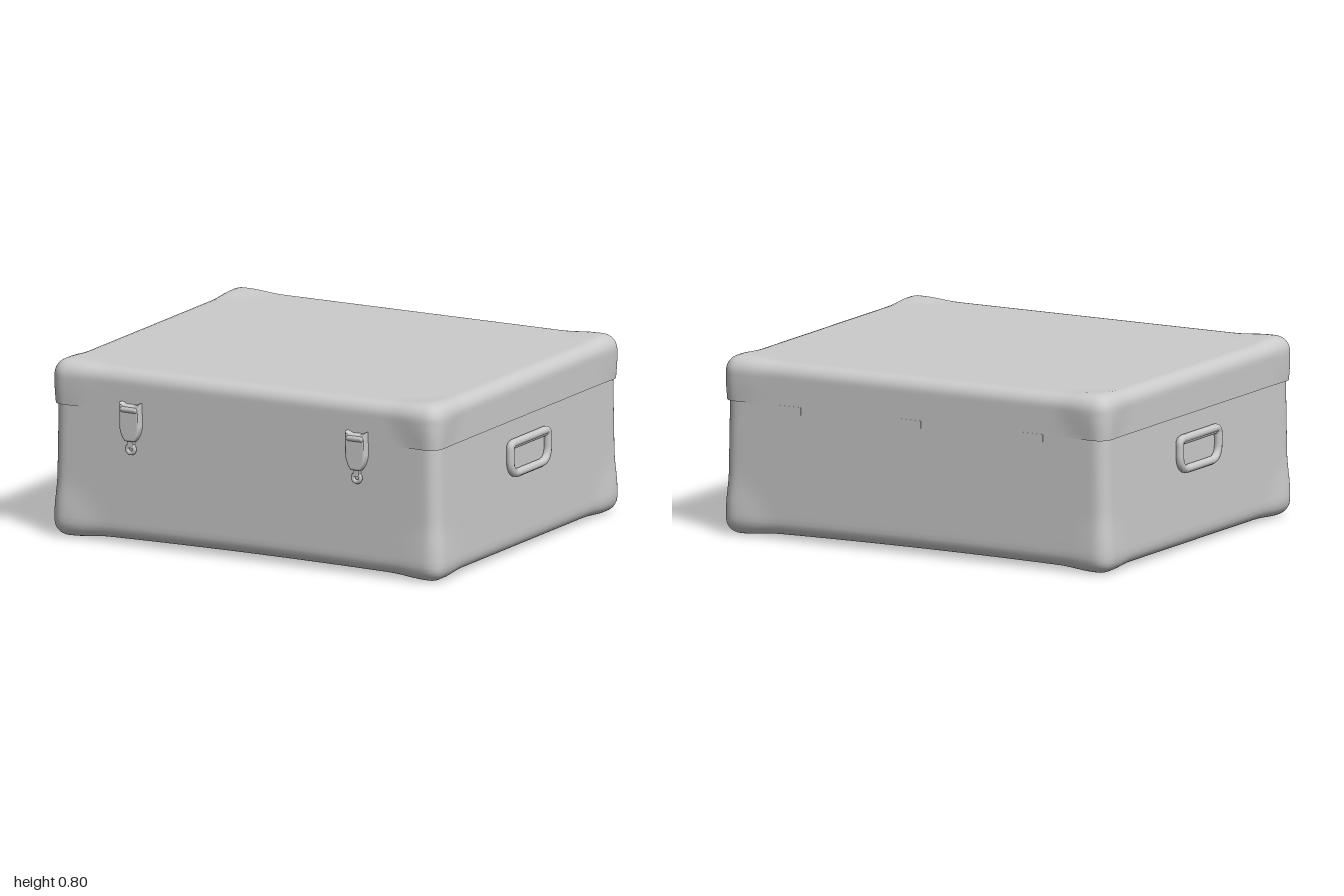
import * as THREE from 'three';

const material = new THREE.MeshStandardMaterial({ color: 0xcccccc });
const { clamp, smoothstep } = THREE.MathUtils;

function addMesh(parent, name, geometry, x = 0, y = 0, z = 0) {
  const mesh = new THREE.Mesh(geometry, material);
  mesh.name = name;
  mesh.position.set(x, y, z);
  parent.add(mesh);
  return mesh;
}

// Box with rounded outer edges, flat on the seam side, swelling at its outer corners.
// seamSide is +1 when the seam is the upper face, -1 when it is the lower face.
function shellGeometry(x, z0, z1, y0, y1, seamSide, radius, bulge) {
  const half = new THREE.Vector3(x, (y1 - y0) / 2, (z1 - z0) / 2);
  const g = new THREE.BoxGeometry(2, 2, 2, 56, 24, 56);
  const pos = g.attributes.position;
  const p = new THREE.Vector3(), q = new THREE.Vector3(), d = new THREE.Vector3();
  const spread = u => Math.sin(u * Math.PI / 2);
  const yLow = seamSide > 0 ? -half.y + radius : -half.y;
  const yHigh = seamSide > 0 ? half.y : half.y - radius;
  for (let i = 0; i < pos.count; i++) {
    p.fromBufferAttribute(pos, i);
    p.set(spread(p.x), spread(p.y), spread(p.z)).multiply(half);
    // distance from the nearest outer corner decides the swelling
    const cornerDist = Math.hypot(half.x - Math.abs(p.x), p.y + seamSide * half.y, half.z - Math.abs(p.z));
    const swell = 1 - smoothstep(cornerDist, 0.1, 0.27);
    // round the edges
    q.set(clamp(p.x, -half.x + radius, half.x - radius), clamp(p.y, yLow, yHigh),
      clamp(p.z, -half.z + radius, half.z - radius));
    d.subVectors(p, q);
    const reach = Math.max(Math.abs(d.x), Math.abs(d.y), Math.abs(d.z));
    if (reach > 1e-6) d.setLength(reach);
    p.addVectors(q, d).addScaledVector(d.multiply(bulge), swell / radius);
    pos.setXYZ(i, p.x, p.y + (y0 + y1) / 2, p.z + (z0 + z1) / 2);
  }
  g.computeVertexNormals();
  return g;
}

// Walls lean out slightly towards the floor, and the floor arches up in the middle
function baseGeometry() {
  const g = shellGeometry(0.964, -0.845, 0.813, 0.02, 0.615, 1, 0.065, new THREE.Vector3(0.01, 0.011, 0.012));
  const pos = g.attributes.position;
  for (let i = 0; i < pos.count; i++) {
    const x = pos.getX(i), y = pos.getY(i);
    const low = 1 - y / 0.615;
    pos.setX(i, x * (1 + 0.012 * low));
    pos.setY(i, y + 0.013 * low * Math.max(0, 1 - x * x));
  }
  g.computeVertexNormals();
  return g;
}

function bevelled(shape, depth, bevel) {
  return new THREE.ExtrudeGeometry(shape, {
    depth, bevelEnabled: true, bevelThickness: bevel, bevelSize: bevel, bevelOffset: -bevel,
    bevelSegments: 3, curveSegments: 10
  });
}

// D-shaped outline for the carrying handles: square top, generous lower corners
function handlePath() {
  const w = 0.17, top = 0.075, bottom = -0.065, r = 0.07, s = 0.025;
  const path = new THREE.CurvePath();
  const v = (a, b) => new THREE.Vector3(a, b, 0);
  path.add(new THREE.LineCurve3(v(-w + s, top), v(w - s, top)));
  path.add(new THREE.QuadraticBezierCurve3(v(w - s, top), v(w, top), v(w, top - s)));
  path.add(new THREE.LineCurve3(v(w, top - s), v(w, bottom + r)));
  path.add(new THREE.QuadraticBezierCurve3(v(w, bottom + r), v(w, bottom), v(w - r, bottom)));
  path.add(new THREE.LineCurve3(v(w - r, bottom), v(-w + r, bottom)));
  path.add(new THREE.QuadraticBezierCurve3(v(-w + r, bottom), v(-w, bottom), v(-w, bottom + r)));
  path.add(new THREE.LineCurve3(v(-w, bottom + r), v(-w, top - s)));
  path.add(new THREE.QuadraticBezierCurve3(v(-w, top - s), v(-w, top), v(-w + s, top)));
  return path;
}

function createHandle() {
  const handle = new THREE.Group();
  handle.name = 'handle';
  addMesh(handle, 'handleLoop', new THREE.TubeGeometry(handlePath(), 96, 0.019, 10, true), 0, 0, 0.012);
  // bar that holds the loop to the case
  const bar = addMesh(handle, 'handleBar', new THREE.CapsuleGeometry(0.02, 0.3, 4, 10), 0, 0.066, 0.004);
  bar.rotation.z = Math.PI / 2;
  return handle;
}

function createLatch() {
  const latch = new THREE.Group();
  latch.name = 'latch';
  // upper plate fixed to the lid
  const plate = new THREE.Shape();
  plate.moveTo(-0.05, 0.05);
  plate.lineTo(-0.05, -0.06);
  plate.quadraticCurveTo(-0.045, -0.1, -0.022, -0.125);
  plate.lineTo(0.022, -0.125);
  plate.quadraticCurveTo(0.045, -0.1, 0.05, -0.06);
  plate.lineTo(0.05, 0.05);
  plate.lineTo(0.025, 0.04);
  plate.lineTo(-0.025, 0.04);
  plate.closePath();
  addMesh(latch, 'latchPlate', bevelled(plate, 0.03, 0.01), 0, 0.615, 0.81);
  const pin = addMesh(latch, 'latchHinge', new THREE.CapsuleGeometry(0.014, 0.06, 4, 10), 0, 0.635, 0.845);
  pin.rotation.z = Math.PI / 2;
  // tongue and eye hanging below the plate
  addMesh(latch, 'latchTongue', new THREE.BoxGeometry(0.03, 0.06, 0.022), 0, 0.49, 0.826);
  addMesh(latch, 'latchEye', new THREE.TorusGeometry(0.018, 0.01, 8, 20), 0, 0.454, 0.828);
  return latch;
}

export function createModel() {
  const model = new THREE.Group();
  model.name = 'travelCase';

  addMesh(model, 'base', baseGeometry());
  addMesh(model, 'lid',
    shellGeometry(0.97, -0.848, 0.817, 0.615, 0.805, -1, 0.062, new THREE.Vector3(0.009, 0.01, 0.014)));

  for (const x of [-0.565, 0.575]) {
    const latch = createLatch();
    latch.position.x = x;
    model.add(latch);
  }

  for (const side of [-1, 1]) {
    const handle = createHandle();
    handle.position.set(side * 0.967, 0.44, side < 0 ? -0.03 : -0.007);
    handle.rotation.y = side * Math.PI / 2;
    model.add(handle);
  }

  // small hinge tabs hanging from the lid along the back seam
  for (const x of [-0.6, 0.02, 0.63]) {
    addMesh(model, 'hingeTab', new THREE.BoxGeometry(0.11, 0.035, 0.016), x, 0.601, -0.841);
  }
  return model;
}
